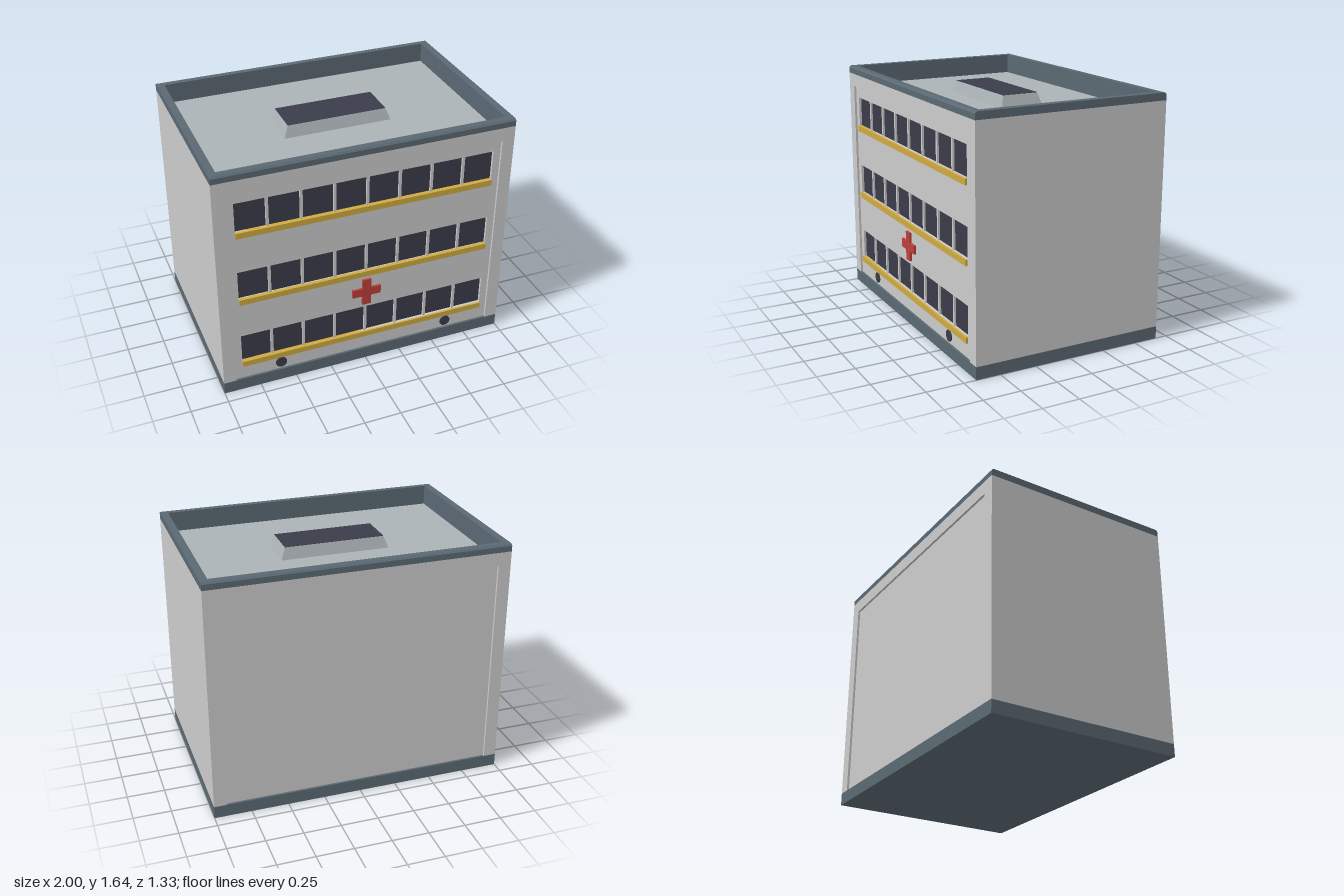
import * as THREE from 'three';

const mat = (color) => new THREE.MeshStandardMaterial({ color, flatShading: true });
const grey = mat(0xcccccc);
const slate = mat(0x5b6973);
const roofGrey = mat(0xabb3b6);
const glass = mat(0x3a3c4a);
const yellow = mat(0xcfab42);
const red = mat(0xbd403c);

const W = 1, D = 0.667;                 // half width, half depth
const BASE = 0.085, ROOF = 1.51, CAP = 1.595, TOP = 1.645;
const WALL_Z = 0.652, GLASS_Z = 0.632;  // recessed facade and glazing planes
const IN_X = 0.95, IN_Z = 0.615;        // inside of the parapet

export function createModel() {
  const model = new THREE.Group();

  const add = (parent, name, geometry, material) => {
    const mesh = new THREE.Mesh(geometry, material);
    mesh.name = name;
    parent.add(mesh);
    return mesh;
  };
  // box given by its min and max corners
  const box = (parent, name, material, [x0, y0, z0], [x1, y1, z1]) => {
    const g = new THREE.BoxGeometry(x1 - x0, y1 - y0, z1 - z0);
    g.translate((x0 + x1) / 2, (y0 + y1) / 2, (z0 + z1) / 2);
    return add(parent, name, g, material);
  };
  const outline = (points, Type = THREE.Shape) => new Type(points.map(([x, y]) => new THREE.Vector2(x, y)));
  const rect = (x0, y0, x1, y1, Type) => outline([[x0, y0], [x1, y0], [x1, y1], [x0, y1]], Type);
  const extrude = (shape, depth) => new THREE.ExtrudeGeometry(shape, { depth, bevelEnabled: false, curveSegments: 12 });
  // rectangular ring lying flat between two heights
  const ring = (name, material, ox, oz, ix, iz, y0, y1) => {
    const shape = rect(-ox, -oz, ox, oz);
    shape.holes.push(rect(-ix, -iz, ix, iz, THREE.Path));
    const g = extrude(shape, y1 - y0).rotateX(-Math.PI / 2).translate(0, y0, 0);
    return add(model, name, g, material);
  };

  // plinth and main block
  box(model, 'plinth', slate, [-W, 0, -D], [W, BASE, D]);
  box(model, 'mainBlock', grey, [-W, BASE, -WALL_Z], [W, ROOF - 0.005, GLASS_Z]);

  // front facade with one long opening per storey
  const storeys = [0.225, 0.725, 1.225];
  const BAND = 0.865, BAND_H = 0.205;
  const facade = rect(-W, BASE, W, ROOF - 0.005);
  storeys.forEach((y) => facade.holes.push(rect(-BAND, y, BAND, y + BAND_H, THREE.Path)));
  add(model, 'frontFacade', extrude(facade, WALL_Z - GLASS_Z).translate(0, 0, GLASS_Z), grey);

  // raised surround on the front and back
  const surround = outline([[-W, BASE], [-0.915, BASE], [-0.915, 1.505], [0.915, 1.505],
    [0.915, BASE], [W, BASE], [W, CAP], [-W, CAP]]);
  for (const [name, z] of [['frontSurround', WALL_Z], ['backSurround', -D]]) {
    add(model, name, extrude(surround, D - WALL_Z).translate(0, 0, z), grey);
  }

  // window bands: glazing, mullions and ledge
  storeys.forEach((y, i) => {
    const band = new THREE.Group();
    band.name = `windowBand${i + 1}`;
    model.add(band);
    box(band, 'glazing', glass, [-BAND, y, GLASS_Z - 0.01], [BAND, y + BAND_H, GLASS_Z + 0.003]);
    for (let k = -3; k <= 3; k++) {
      const x = k * 0.219;
      box(band, 'mullion', grey, [x - 0.009, y, GLASS_Z], [x + 0.009, y + BAND_H, WALL_Z - 0.004]);
    }
    box(band, 'ledge', yellow, [-BAND, y - 0.04, GLASS_Z], [BAND, y, D - 0.001]);
  });

  // cross emblem
  const a = 0.03, b = 0.099;
  const cross = outline([[-a, -b], [a, -b], [a, -a], [b, -a], [b, a], [a, a],
    [a, b], [-a, b], [-a, a], [-b, a], [-b, -a], [-a, -a]]);
  add(model, 'cross', extrude(cross, D - WALL_Z).translate(0, 0.558, WALL_Z), red);

  // round lamps near the ground
  for (const x of [-0.6, 0.6]) {
    const g = new THREE.CylinderGeometry(0.038, 0.038, 0.01, 24).rotateX(Math.PI / 2);
    add(model, 'lamp', g, glass).position.set(x, 0.137, WALL_Z + 0.002);
  }

  // parapet: grey outside, slate lining, slate coping with chamfered front and back
  ring('parapetWall', grey, W, WALL_Z, 0.97, 0.635, ROOF - 0.005, CAP);
  ring('parapetLining', slate, 0.97, 0.635, IN_X, IN_Z, ROOF - 0.005, CAP);
  const c = 0.012;
  for (const s of [-1, 1]) {
    const profile = outline([[s * IN_Z, CAP], [s * D, CAP], [s * D, TOP - c], [s * (D - c), TOP], [s * IN_Z, TOP]]);
    const g = extrude(profile, 2 * W).rotateY(Math.PI / 2).translate(-W, 0, 0);
    add(model, s < 0 ? 'frontCoping' : 'backCoping', g, slate);
    const x = s * (W + IN_X) / 2, h = (W - IN_X) / 2;
    box(model, 'sideCoping', slate, [x - h, CAP, -IN_Z], [x + h, TOP, IN_Z]);
  }

  // roof deck
  box(model, 'roofDeck', roofGrey, [-IN_X, ROOF - 0.01, -IN_Z], [IN_X, ROOF, IN_Z]);

  // skylight: tapered curb with a dark pane
  const H = 0.078;
  const curb = new THREE.BoxGeometry(0.735, H, 0.298);
  const p = curb.attributes.position;
  for (let i = 0; i < p.count; i++) {
    if (p.getY(i) > 0) p.setXYZ(i, Math.sign(p.getX(i)) * 0.338, p.getY(i), Math.sign(p.getZ(i)) * 0.126);
  }
  curb.computeVertexNormals();
  add(model, 'skylightCurb', curb, roofGrey).position.y = ROOF + H / 2;
  box(model, 'skylightPane', glass, [-0.338, ROOF + H, -0.126], [0.338, ROOF + H + 0.002, 0.126]);

  return model;
}
